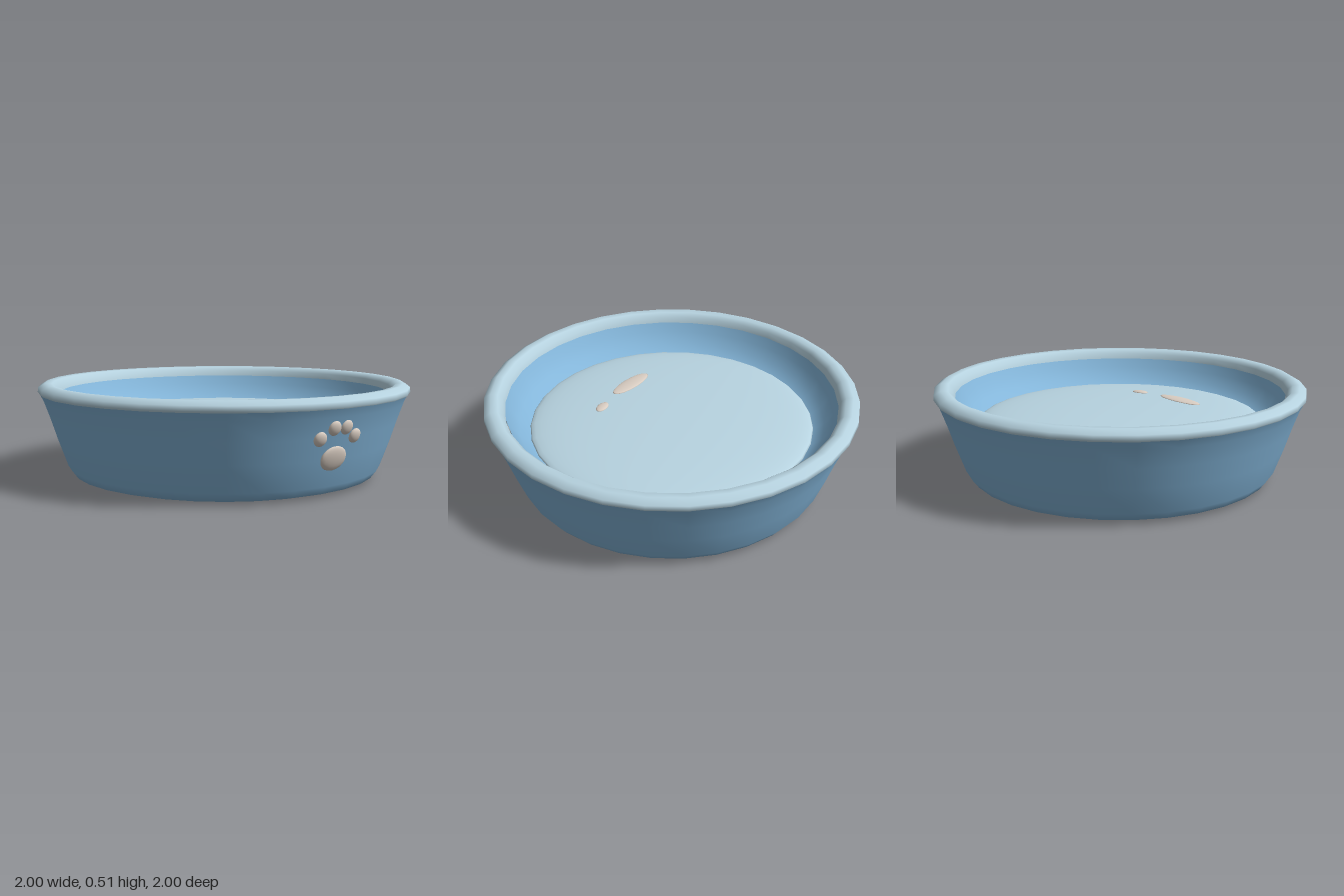
import * as THREE from 'three';

const SEGMENTS = 32;
const material = (name, color) => new THREE.MeshStandardMaterial({ name, color });

export function createModel() {
  const bowl = new THREE.Group();
  bowl.name = 'petBowl';
  const blue = material('bowlBlue', 0x84b6da);
  const pale = material('paleBlue', 0xb7d3e0);
  const beige = material('beige', 0xd9cdc2);

  const add = (name, geometry, mat) => {
    const mesh = new THREE.Mesh(geometry, mat);
    mesh.name = name;
    bowl.add(mesh);
    return mesh;
  };
  const lathe = (name, profile, mat) =>
    add(name, new THREE.LatheGeometry(profile.map(([r, y]) => new THREE.Vector2(r, y)), SEGMENTS), mat);

  // Bowl shell: underside and flared outer wall, then the inner wall and floor
  lathe('outerWall', [
    [0, 0], [0.75, 0], [0.82, 0.02], [0.85, 0.06], [0.9, 0.2], [0.935, 0.31], [0.97, 0.41], [0.995, 0.458],
  ], blue);
  lathe('innerWall', [[0.89, 0.45], [0.865, 0.4], [0.825, 0.34], [0.765, 0.29], [0.7, 0.27], [0, 0.27]], blue);

  // Rounded rim
  lathe('rim', [
    [0.985, 0.445], [1, 0.46], [0.998, 0.485], [0.962, 0.506], [0.925, 0.503], [0.9, 0.48], [0.89, 0.44],
  ], pale);

  // Gently domed contents
  const dome = { radius: 0.77, height: 0.06, y: 0.3 };
  const contents = add('water',
    new THREE.SphereGeometry(1, SEGMENTS, 12, 0, Math.PI * 2, 0, Math.PI / 2), pale);
  contents.scale.set(dome.radius, dome.height, dome.radius);
  contents.position.y = dome.y;

  // Highlights lying on the dome: x, z, half length, half width, turn
  const up = new THREE.Vector3(0, 1, 0);
  [[-0.27, 0.27, 0.15, 0.05, -0.52], [0, 0.385, 0.05, 0.03, -0.3]].forEach(([x, z, a, b, turn], i) => {
    const rise = Math.sqrt(1 - (x * x + z * z) / dome.radius ** 2);
    const slope = dome.height / (dome.radius ** 2 * rise);
    const normal = new THREE.Vector3(x * slope, 1, z * slope).normalize();
    const spot = add('highlight' + (i + 1), new THREE.SphereGeometry(1, 16, 10), beige);
    spot.scale.set(a, 0.01, b);
    spot.position.set(x, dome.y + dome.height * rise, z);
    spot.quaternion.setFromUnitVectors(up, normal)
      .multiply(new THREE.Quaternion().setFromAxisAngle(up, turn));
  });

  // Paw print on the front wall: x, y, half width, half height
  const paw = new THREE.Group();
  paw.name = 'pawPrint';
  bowl.add(paw);
  const pads = [[0, 0.207, 0.077, 0.064]];
  for (const side of [-1, 1]) pads.push([side * 0.036, 0.358, 0.035, 0.037], [side * 0.105, 0.31, 0.035, 0.037]);
  pads.forEach(([x, y, w, h], i) => {
    const radius = 0.9 + (y - 0.2) * 0.325;
    const pad = add(i ? 'toePad' + i : 'mainPad', new THREE.SphereGeometry(1, 16, 12), beige);
    pad.scale.set(w, h, 0.018);
    pad.position.set(x, y, Math.sqrt(radius * radius - x * x));
    pad.rotation.set(0.32, Math.asin(x / radius), 0, 'YXZ');
    paw.add(pad);
  });

  return bowl;
}
